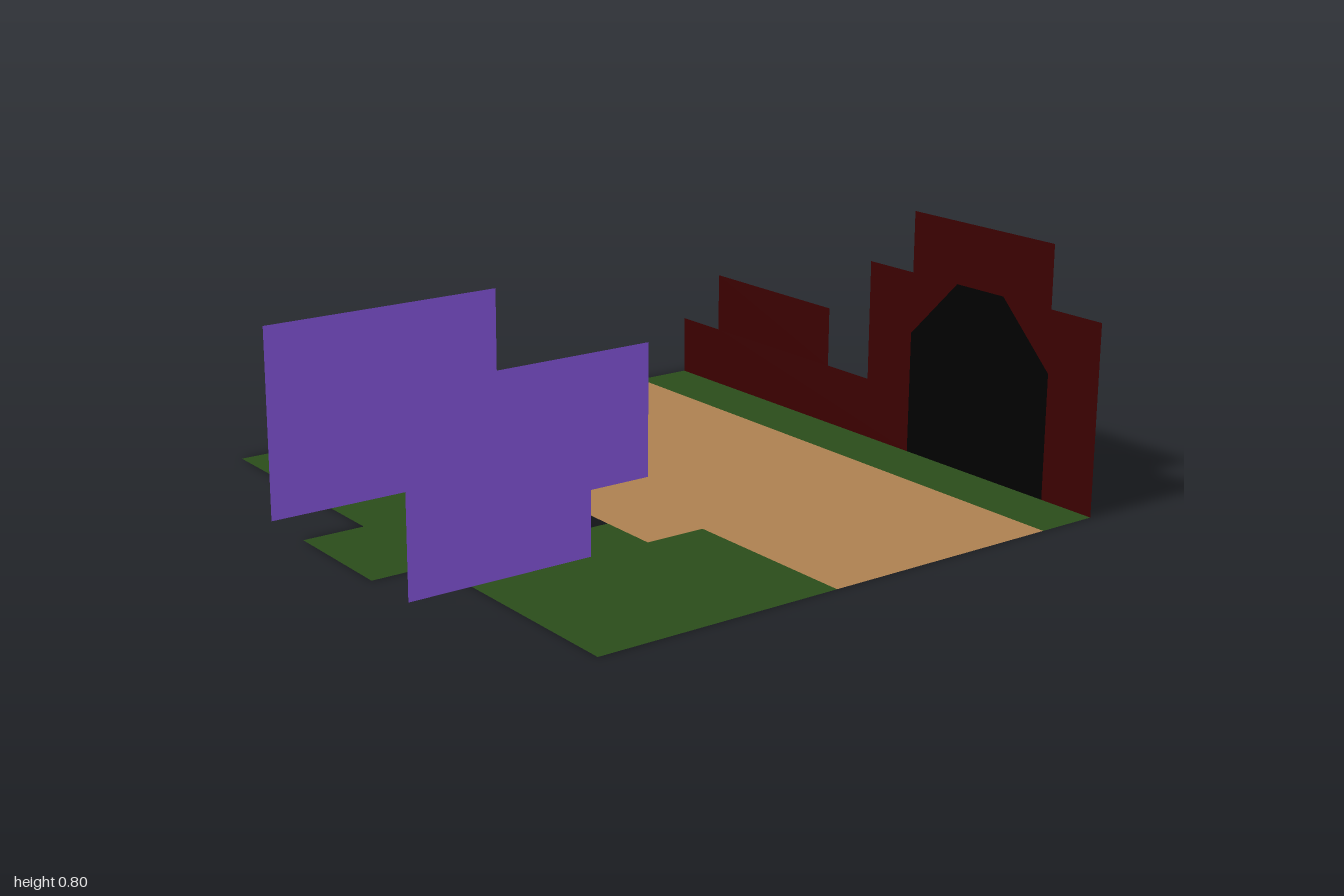
import * as THREE from 'three';

const mat = (name, color) => {
  const m = new THREE.MeshStandardMaterial({ color, side: THREE.DoubleSide });
  m.name = name;
  return m;
};

// Flat sheet from an outline
function sheet(name, points, material) {
  const shape = new THREE.Shape(points.map(([x, y]) => new THREE.Vector2(x, y)));
  const mesh = new THREE.Mesh(new THREE.ShapeGeometry(shape), material);
  mesh.name = name;
  return mesh;
}

// Horizontal sheet, outline given as [x, z]
function floorSheet(name, points, material, y = 0) {
  const mesh = sheet(name, points.map(([x, z]) => [x, -z]), material);
  mesh.geometry.rotateX(-Math.PI / 2);
  mesh.position.y = y;
  return mesh;
}

const rect = (x0, y0, x1, y1) => [[x0, y0], [x1, y0], [x1, y1], [x0, y1]];

export function createModel() {
  const group = new THREE.Group();
  group.name = 'ruinedCourtyard';

  const grass = mat('grass green', 0x2a4c1a);
  const earth = mat('earth brown', 0xac8050);
  const stone = mat('dark red', 0x3a0000);
  const black = mat('black', 0x000000);
  const blue = mat('blue', 0x0060e5);
  const purple = mat('purple', 0x8b59e6);

  // Ground: grass around an earth path, with an opening beneath the bench
  group.add(floorSheet('backGrass', rect(-1, -1, 1, -0.8), grass));
  group.add(floorSheet('earthPath', [
    [-1, -0.8], [1, -0.8], [1, 0], [0.4, 0], [0.4, 0.2], [-0.4, 0.2], [-0.4, 0], [-1, 0],
  ], earth));
  group.add(floorSheet('frontGrass', [
    [-1, 0], [-0.4, 0], [-0.4, 0.2], [-0.2, 0.2], [-0.2, 0.4],
    [0.2, 0.4], [0.2, 0.2], [0.4, 0.2], [0.4, 0], [1, 0], [1, 0.8],
    [0.2, 0.8], [0.2, 1], [-0.2, 1], [-0.2, 0.8], [-1, 0.8],
  ], grass));

  // Stepped back wall, cut around the arched doorway
  const arch = [[0.2, 0], [0.2, 0.4], [0.4, 0.6], [0.6, 0.6], [0.8, 0.4], [0.8, 0]];
  const wall = sheet('backWall', [
    [-1, 0], ...arch, [1, 0], [1, 0.6], [0.8, 0.6], [0.8, 0.8], [0.2, 0.8], [0.2, 0.6],
    [0, 0.6], [0, 0.2], [-0.2, 0.2], [-0.2, 0.4], [-0.8, 0.4], [-0.8, 0.2], [-1, 0.2],
  ], stone);
  const doorway = sheet('archedDoorway', arch, black);
  wall.position.z = doorway.position.z = -1;
  group.add(wall, doorway);

  // Bench: top and front only
  group.add(floorSheet('benchTop', rect(-0.4, 0.2, 0.4, 0.4), blue, 0.2));
  const benchFront = sheet('benchFront', rect(-0.4, 0, 0.4, 0.2), blue);
  benchFront.position.z = 0.4;
  group.add(benchFront);

  // Notched side panels, outline as [-z, y]
  for (const [name, x] of [['leftPanel', 0.4], ['rightPanel', -0.4]]) {
    const panel = sheet(name, [
      [-1, 0], [-0.4, 0], [-0.4, 0.2], [-0.2, 0.2], [-0.2, 0.6], [-1, 0.6],
    ], purple);
    panel.geometry.rotateY(Math.PI / 2);
    panel.position.x = x;
    group.add(panel);
  }

  return group;
}
